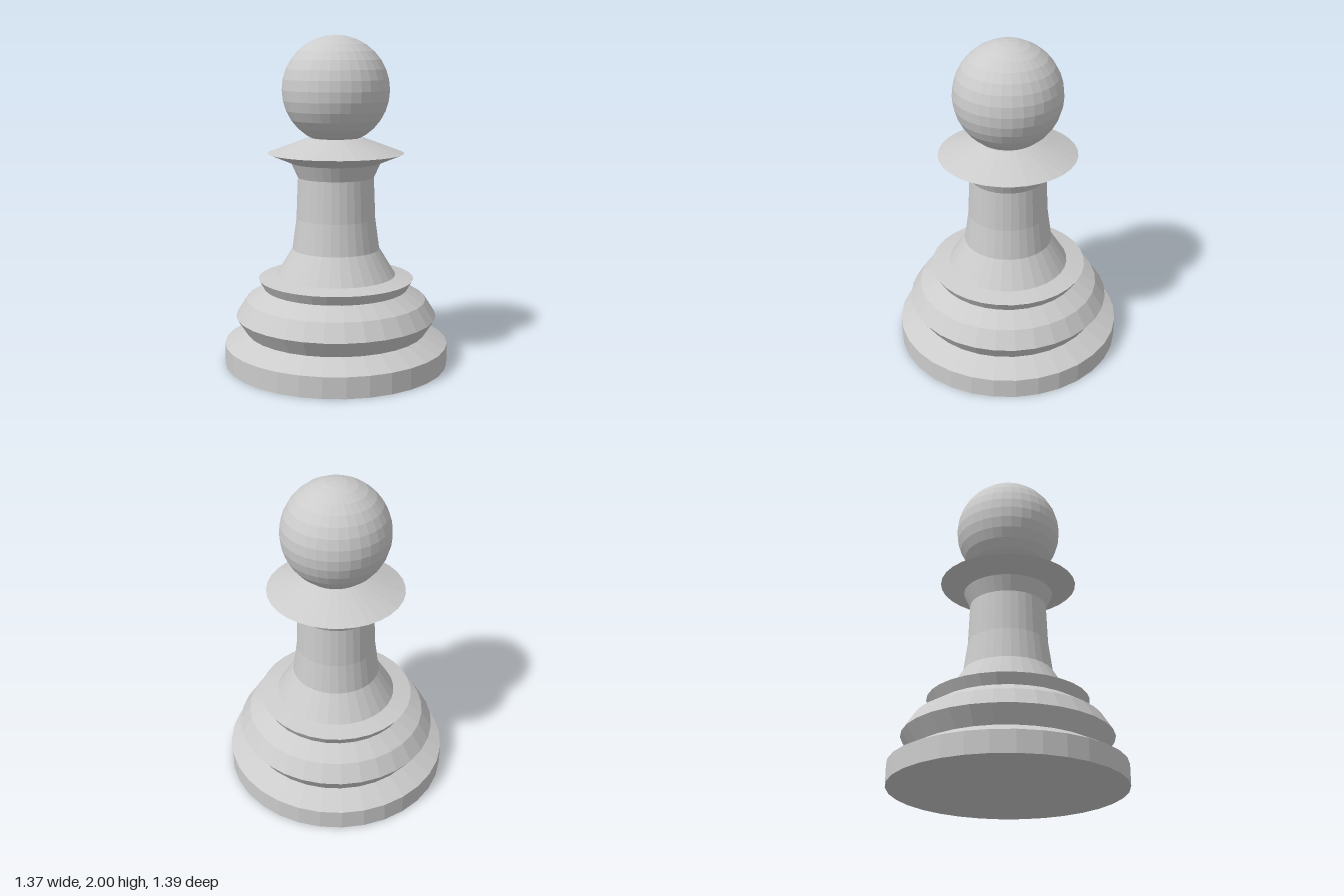
import * as THREE from 'three';

const SEGMENTS = 32;

export function createModel() {
  const model = new THREE.Group();
  const material = new THREE.MeshStandardMaterial({ color: 0xcccccc, flatShading: true });

  // Turned parts: each profile is a list of [radius, height] from bottom to top
  const turned = new THREE.Group();
  turned.name = 'turnedBody';
  turned.scale.x = 0.987; // the body is slightly narrower across x
  model.add(turned);
  const profiles = {
    foot: [[0, 0], [0.695, 0], [0.695, 0.127], [0.558, 0.197]],
    lowerBulge: [[0.558, 0.197], [0.624, 0.297], [0.558, 0.4], [0.447, 0.467]],
    upperRim: [[0.447, 0.467], [0.482, 0.527], [0.37, 0.548]],
    stem: [[0.37, 0.548], [0.27, 0.71], [0.244, 0.9], [0.234, 1.15], [0.274, 1.238]],
    collar: [[0.274, 1.238], [0.418, 1.297], [0.166, 1.39], [0, 1.39]],
  };
  for (const [name, profile] of Object.entries(profiles)) {
    const points = profile.map(([r, y]) => new THREE.Vector2(r, y));
    const mesh = new THREE.Mesh(new THREE.LatheGeometry(points, SEGMENTS), material);
    mesh.name = name;
    turned.add(mesh);
  }

  // Ball head, sunk slightly into the collar
  const head = new THREE.Mesh(new THREE.SphereGeometry(0.324, SEGMENTS, 16), material);
  head.name = 'head';
  head.position.y = 1.676;
  model.add(head);

  return model;
}
